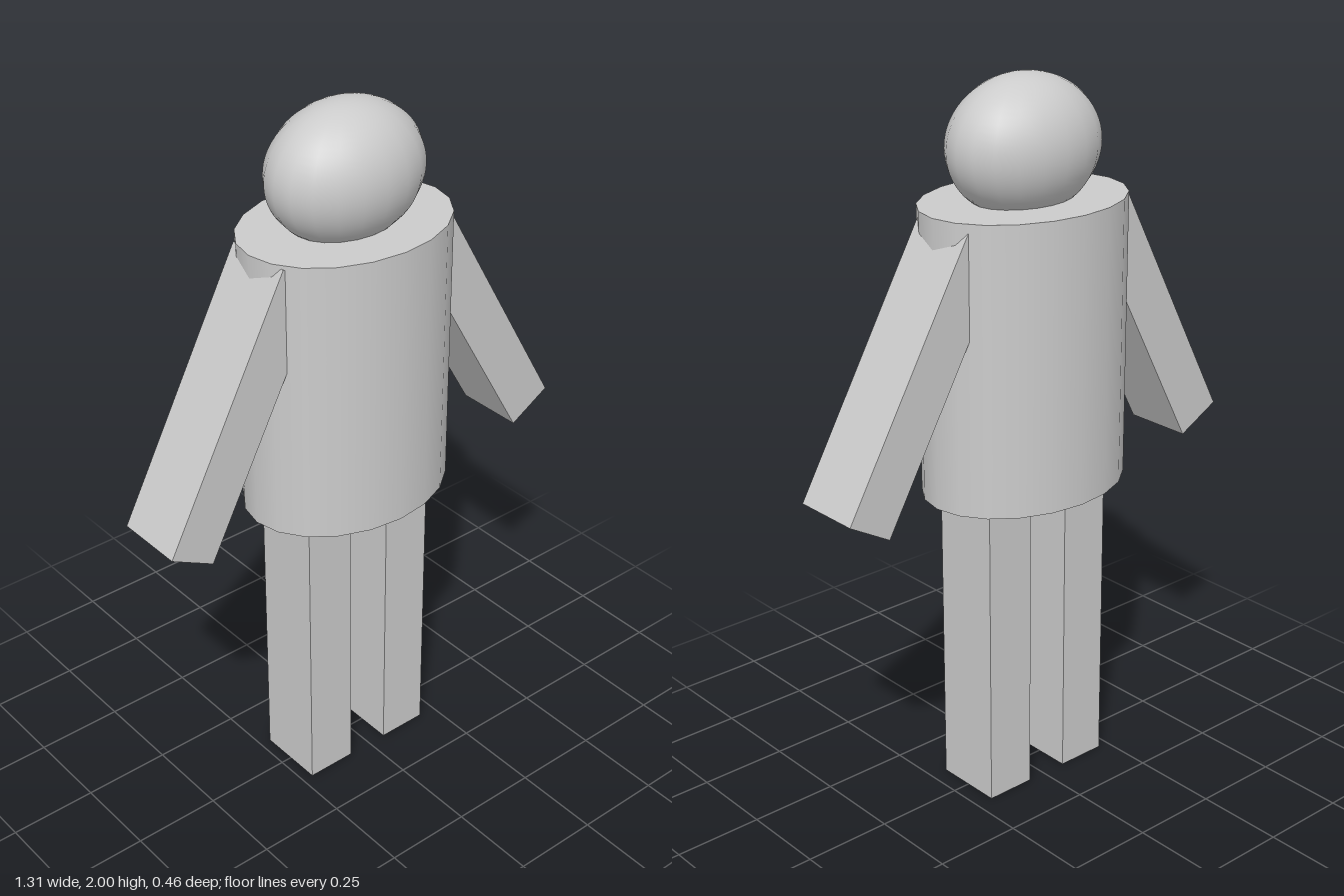
import * as THREE from 'three';

export function createModel() {
  const group = new THREE.Group();
  const material = new THREE.MeshStandardMaterial({ color: 0xcccccc });

  const add = (name, geometry, x, y, z = 0) => {
    const mesh = new THREE.Mesh(geometry, material);
    mesh.name = name;
    mesh.position.set(x, y, z);
    group.add(mesh);
    return mesh;
  };

  // Oval torso: a squashed 20-sided cylinder
  add('torso', new THREE.CylinderGeometry(1, 1, 0.79, 20).scale(0.304, 1, 0.232), -0.01, 1.281);

  // Egg-shaped head, wider than deep, sunk slightly into the torso
  add('head', new THREE.SphereGeometry(1, 20, 32).scale(0.225, 0.185, 0.168), -0.01, 1.815);

  // Straight box legs
  const legHeight = 0.9;
  for (const [name, x] of [['leftLeg', 0.126], ['rightLeg', -0.145]]) {
    add(name, new THREE.BoxGeometry(0.145, legHeight, 0.2), x, legHeight / 2);
  }

  // Box arms, pivoting on the hand end and leaning in to the shoulders
  const armLength = 0.785;
  for (const [name, x, degrees] of [['leftArm', 0.59, 30], ['rightArm', -0.592, -28]]) {
    const geometry = new THREE.BoxGeometry(0.141, armLength, 0.2).translate(0, armLength / 2, 0);
    add(name, geometry, x, 0.94).rotation.z = THREE.MathUtils.degToRad(degrees);
  }

  return group;
}
